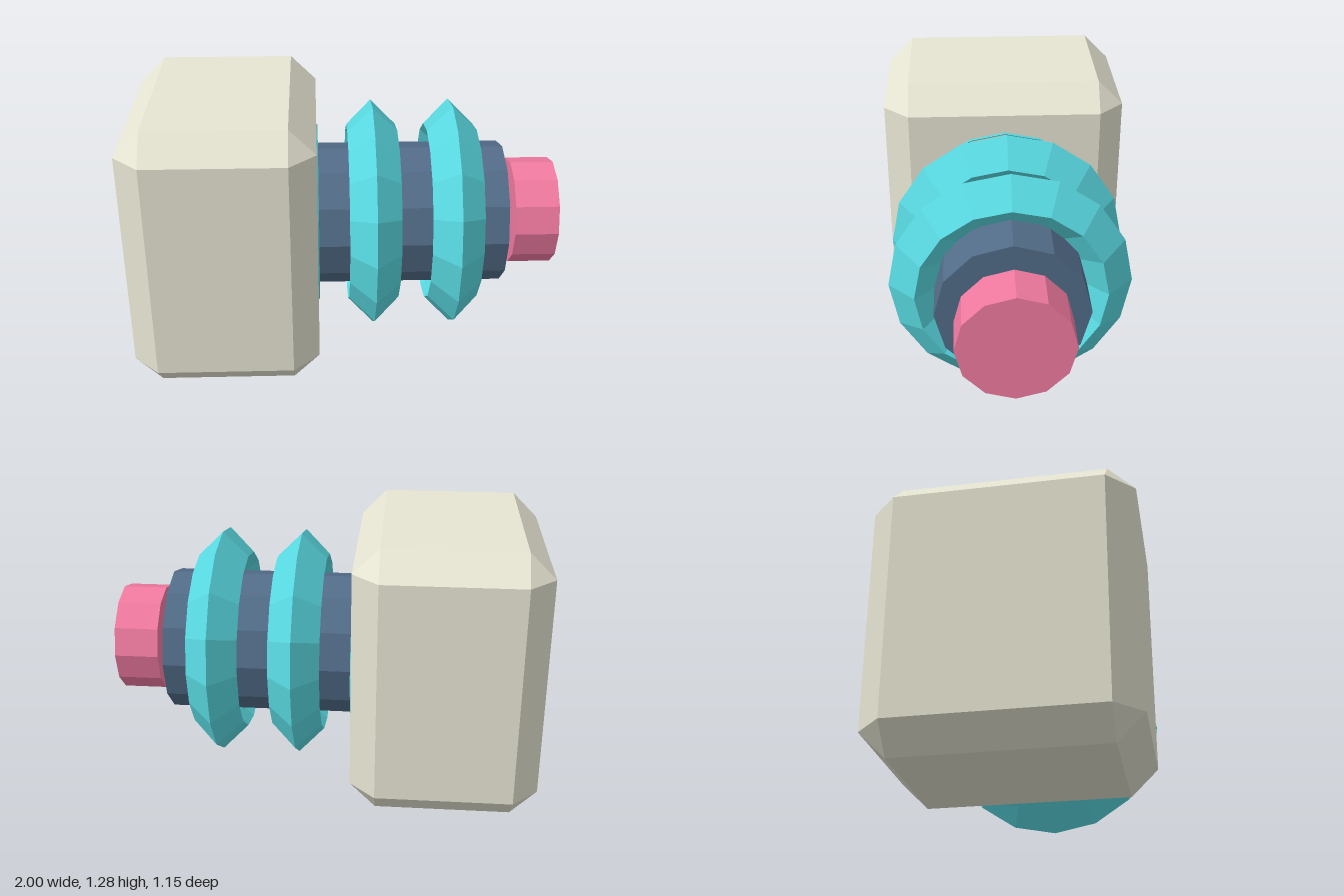
import * as THREE from 'three';
import { ConvexGeometry } from 'three/addons/geometries/ConvexGeometry.js';

const AXIS_Y = 0.64; // height of the shaft axis

const flat = (color) => new THREE.MeshStandardMaterial({ color, flatShading: true });

// Box with every edge cut at 45 degrees and a triangle at each corner
function chamferedBox(w, h, d, c) {
  const points = [];
  for (const sx of [-1, 1]) for (const sy of [-1, 1]) for (const sz of [-1, 1]) {
    for (let full = 0; full < 3; full++) {
      const [x, y, z] = [w, h, d].map((size, i) => size / 2 - (i === full ? 0 : c));
      points.push(new THREE.Vector3(sx * x, sy * y, sz * z));
    }
  }
  return new ConvexGeometry(points);
}

// Twelve-sided cylinder lying along x
function rod(radius, x0, x1) {
  return new THREE.CylinderGeometry(radius, radius, x1 - x0, 12)
    .rotateZ(-Math.PI / 2)
    .translate((x0 + x1) / 2, 0, 0);
}

export function createModel() {
  const model = new THREE.Group();
  model.name = 'model';

  const add = (name, geometry, material, x = 0) => {
    const mesh = new THREE.Mesh(geometry, material);
    mesh.name = name;
    mesh.position.set(x, AXIS_Y, 0);
    model.add(mesh);
  };

  // Heavy block
  add('block', chamferedBox(0.867, 1.28, 1.155, 0.12), flat(0xe6e4d2), -0.5665);

  // Shaft, running into the block
  add('shaft', rod(0.34, -0.49, 0.75), flat(0x526c88));

  // Diamond-section rings; the first is sunk into the block
  const ringGeometry = new THREE.TorusGeometry(0.427, 0.118, 4, 16).rotateY(Math.PI / 2);
  const ringMaterial = flat(0x58d8e0);
  [-0.245, 0.13, 0.505].forEach((x, i) => add(`ring${i + 1}`, ringGeometry, ringMaterial, x));

  // Tip, floating just off the shaft end
  add('tip', rod(0.255, 0.795, 1), flat(0xf07aa0));

  return model;
}
